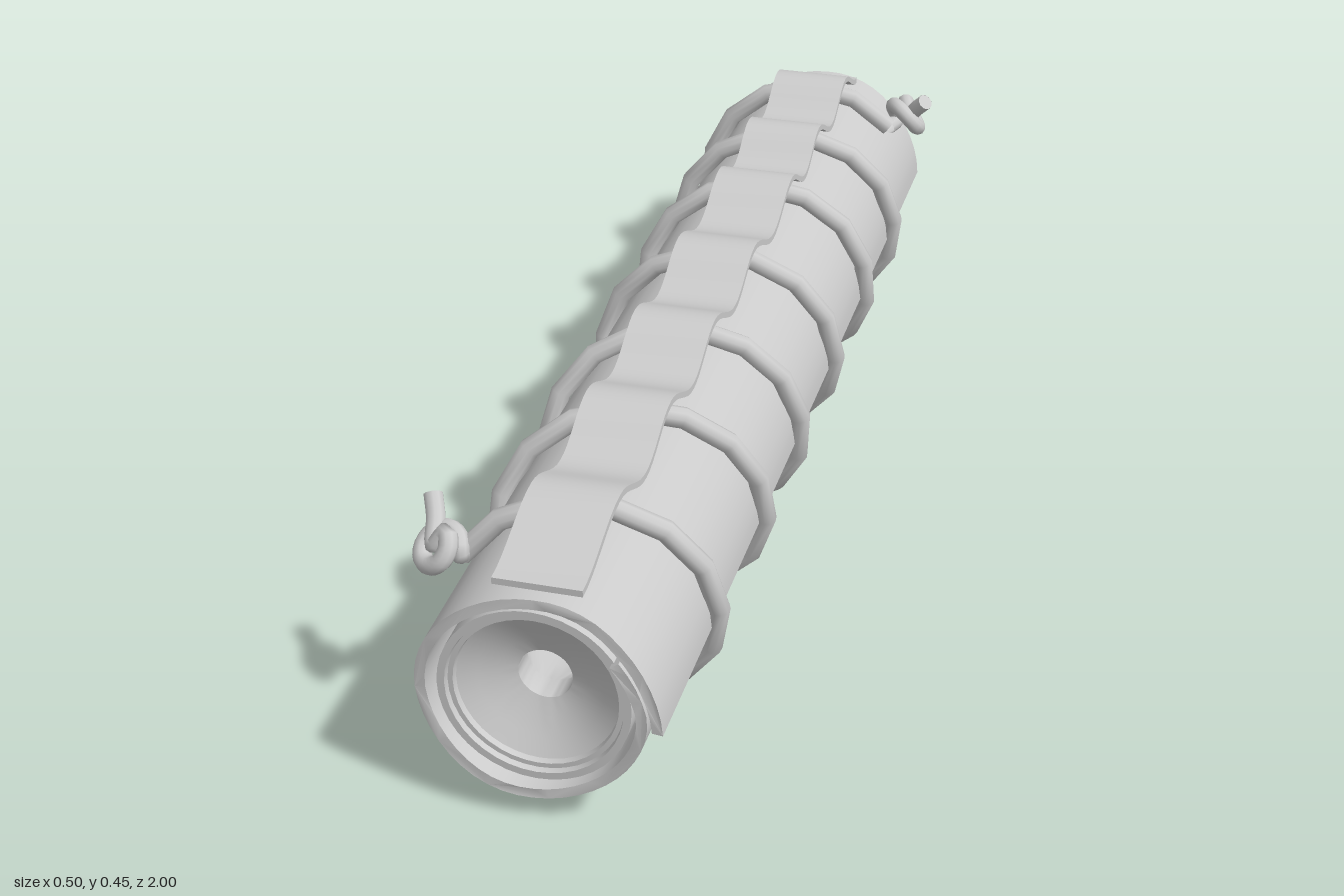
import * as THREE from 'three';
import { toCreasedNormals } from 'three/addons/utils/BufferGeometryUtils.js';

const V = (x, y, z) => new THREE.Vector3(x, y, z);
const CX = -0.003, CY = 0.217;
const ROPE = 0.018;

// Piecewise linear lookup in a list of [key, value] pairs
function lookup(list, k) {
  for (let i = 1; i < list.length; i++) {
    const [a, va] = list[i - 1], [b, vb] = list[i];
    if (k <= b) return va + (vb - va) * (k - a) / (b - a);
  }
  return list[list.length - 1][1];
}

// Curved sheet between two angles (degrees), extruded along z
function sheetGeometry(profile, thickness, z0, z1, step) {
  const a0 = profile[0][0], a1 = profile[profile.length - 1][0];
  const n = Math.ceil((a1 - a0) / step), outer = [], inner = [];
  for (let i = 0; i <= n; i++) {
    const deg = a0 + (a1 - a0) * i / n, a = deg * Math.PI / 180, r = lookup(profile, deg);
    outer.push(new THREE.Vector2(CX + r * Math.cos(a), CY + r * Math.sin(a)));
    inner.unshift(new THREE.Vector2(CX + (r - thickness) * Math.cos(a), CY + (r - thickness) * Math.sin(a)));
  }
  const g = new THREE.ExtrudeGeometry(new THREE.Shape([...outer, ...inner]), { depth: z1 - z0, bevelEnabled: false });
  return g.translate(0, 0, z0);
}

export function createModel() {
  const group = new THREE.Group();
  const mat = new THREE.MeshStandardMaterial({ color: 0xcccccc, side: THREE.DoubleSide });
  const add = (name, geo, parent = group) => {
    const m = new THREE.Mesh(geo, mat);
    m.name = name;
    parent.add(m);
    return m;
  };

  // Core tube: dished front, flat back with a wider bore
  const core = [
    [0.078, -0.975], [0.152, -0.975], [0.152, 0.985], [0.14, 0.985], [0.138, 0.975], [0.13, 0.975],
    [0.128, 0.965], [0.1, 0.95], [0.07, 0.935], [0.043, 0.925], [0.043, 0.88], [0.078, 0.8], [0.078, -0.975],
  ].map(([r, z]) => new THREE.Vector2(r, z));
  const coreGeo = new THREE.LatheGeometry(core, 40).rotateX(Math.PI / 2).translate(CX, CY + 0.004, 0);
  add('core', toCreasedNormals(coreGeo, 0.5));

  // Wrapped sheet: overlaps itself along a seam on the left side
  const wrap = sheetGeometry([[-6, 0.204], [15, 0.195], [40, 0.187], [90, 0.181], [180, 0.187],
    [270, 0.177], [330, 0.177], [360, 0.18], [395, 0.166]], 0.017, -0.993, 0.993, 8);
  const p = wrap.attributes.position;
  for (let i = 0; i < p.count; i++) {
    const a = Math.atan2(p.getY(i) - CY, p.getX(i) - CX);
    p.setZ(i, p.getZ(i) + 0.006 * Math.sin(3 * a + 1));
  }
  add('wrappedSheet', toCreasedNormals(wrap, 0.5));

  // Small torn flap below the seam
  add('seamFlap', toCreasedNormals(sheetGeometry([[-22, 0.194], [-4, 0.199]], 0.012, -0.87, -0.7, 6), 0.5));

  // Rope: z at top, left, bottom and right of each turn
  const tops = [0.77, 0.48, 0.2, -0.08, -0.37, -0.6, -0.84];
  const lefts = [0.7, 0.39, 0.13, -0.14, -0.42, -0.68];
  const bottoms = [0.63, 0.33, 0.05, -0.24, -0.51, -0.75];
  const rights = [0.56, 0.29, -0.06, -0.33, -0.58, -0.82];
  const zs = [[-60, 0.8]];
  for (let k = 0; k < 6; k++) {
    zs.push([360 * k, tops[k]], [360 * k + 90, lefts[k]], [360 * k + 180, bottoms[k]], [360 * k + 270, rights[k]]);
  }
  zs.push([2160, tops[6]], [2210, -0.85]);
  const ropePoints = [], count = 92;
  for (let i = 0; i <= count; i++) {
    const deg = -60 + 2270 * i / count, a = deg * Math.PI / 180;
    ropePoints.push(V(0.003 + 0.206 * Math.sin(a), 0.224 + 0.206 * Math.cos(a), lookup(zs, deg)));
  }
  add('rope', new THREE.TubeGeometry(new THREE.CatmullRomCurve3(ropePoints), count, ROPE, 10));

  // Knots: the rope end loops round once, passes through and leaves a short tail
  function knot(name, start, centre, normal, tip) {
    const g = new THREE.Group();
    g.name = name;
    const n = normal.normalize();
    const u = start.clone().sub(centre).projectOnPlane(n).normalize();
    const w = n.clone().cross(u);
    const pts = [start];
    for (let i = 0; i <= 9; i++) {
      const a = i * Math.PI / 4;
      pts.push(centre.clone().addScaledVector(u, 0.032 * Math.cos(a))
        .addScaledVector(w, 0.032 * Math.sin(a)).addScaledVector(n, -0.014 + 0.0035 * i));
    }
    pts.push(centre.clone().addScaledVector(n, 0.01), centre.clone().lerp(tip, 0.55), tip);
    const curve = new THREE.CatmullRomCurve3(pts);
    add('knotLoop', new THREE.TubeGeometry(curve, 44, 0.0155, 10), g);
    const cap = add('ropeEnd', new THREE.CircleGeometry(0.0155, 10), g);
    cap.position.copy(tip);
    cap.quaternion.setFromUnitVectors(V(0, 0, 1), curve.getTangent(1));
    group.add(g);
  }
  knot('frontKnot', ropePoints[0], V(-0.205, 0.345, 0.815), V(-0.4, 0.6, 0.6), V(-0.233, 0.4, 0.755));
  knot('backKnot', ropePoints[count], V(0.195, 0.382, -0.855), V(0.7, 0.5, -0.4), V(0.238, 0.43, -0.825));

  // Top strip: rises over each turn of the rope and dips between them
  const lows = [0.965];
  for (let k = 1; k < 7; k++) lows.push((tops[k - 1] + tops[k]) / 2);
  lows.push(-0.955);
  const upper = [], lower = [], steps = 8;
  const addPoint = (z, s) => {
    const y = 0.41 + 0.045 * s;
    upper.push(new THREE.Vector2(z, y));
    lower.unshift(new THREE.Vector2(z, y - 0.011));
  };
  tops.forEach((peak, k) => {
    for (let i = 0; i < 2 * steps; i++) {
      const t = i / steps;
      const z = t < 1 ? lows[k] + (peak - lows[k]) * t : peak + (lows[k + 1] - peak) * (t - 1);
      addPoint(z, 0.5 - 0.5 * Math.cos(Math.PI * t));
    }
  });
  addPoint(lows[7], 0);
  const strip = new THREE.ExtrudeGeometry(new THREE.Shape([...upper, ...lower]), { depth: 0.14, bevelEnabled: false });
  add('wavyStrip', toCreasedNormals(strip.rotateY(-Math.PI / 2).translate(0.072, 0, 0), 0.6));

  return group;
}
